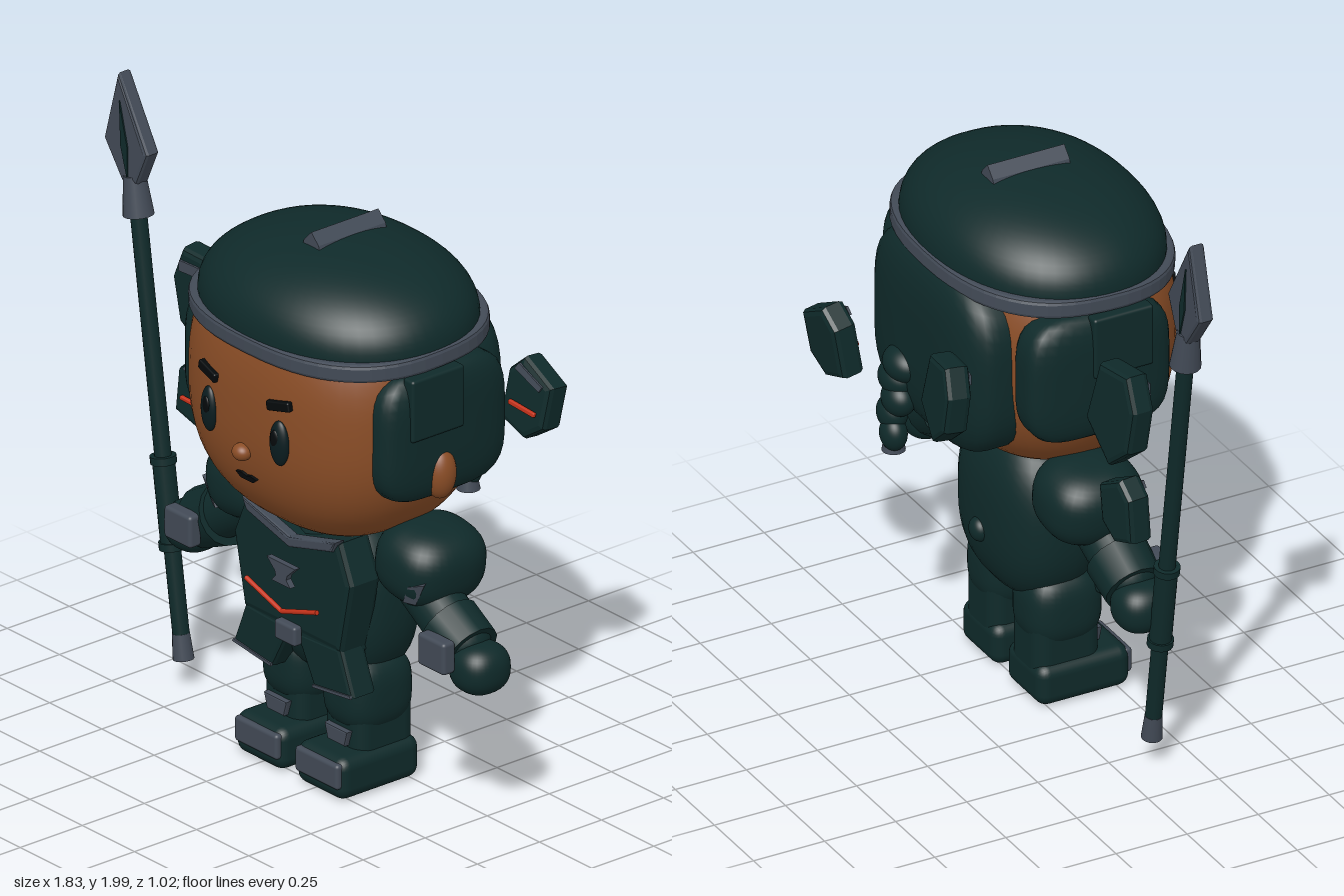
import * as THREE from 'three';
import { mergeVertices } from 'three/addons/utils/BufferGeometryUtils.js';
import { RoundedBoxGeometry } from 'three/addons/geometries/RoundedBoxGeometry.js';

const paint = (name, color) => Object.assign(new THREE.MeshStandardMaterial({ color }), { name });

export function createModel() {
  const teal = paint('dark teal', 0x0f2a2a), slate = paint('slate', 0x424a56), skin = paint('skin', 0x8a4d26);
  const red = paint('red', 0xc4321a), ink = paint('ink', 0x0a1c1f), pitch = paint('pitch', 0x05090b);
  const model = new THREE.Group();
  model.name = 'spearGuard';
  const body = new THREE.Group();
  body.name = 'figure';
  body.position.x = 0.14;
  model.add(body);

  const add = (parent, name, geo, mat, pos = [0, 0, 0], rot = [0, 0, 0]) => {
    const m = new THREE.Mesh(geo, mat);
    m.name = name;
    m.position.set(...pos);
    m.rotation.set(...rot);
    parent.add(m);
    return m;
  };
  // Squarish ellipsoid: p = 2 is round, larger is boxier; floor cuts it flat underneath
  const blob = (rx, ry, rz, p = 2, floor = -1, seg = 40) => {
    let g = new THREE.SphereGeometry(1, seg, Math.round(seg * 0.7));
    g.deleteAttribute('uv');
    g.deleteAttribute('normal');
    const a = g.attributes.position;
    for (let i = 0; i < a.count; i++) {
      const v = [a.getX(i), a.getY(i), a.getZ(i)];
      const n = Math.pow(v.reduce((s, c) => s + Math.abs(c) ** p, 0), 1 / p);
      a.setXYZ(i, (rx * v[0]) / n, ry * Math.max(floor, v[1] / n), (rz * v[2]) / n);
    }
    g = mergeVertices(g, 1e-5);
    g.computeVertexNormals();
    return g;
  };
  // Bevelled plate from an outline, centred in depth
  const plate = (pts, depth, bevel = 0) => {
    const g = new THREE.ExtrudeGeometry(new THREE.Shape(pts.map(([x, y]) => new THREE.Vector2(x, y))), {
      depth: depth - 2 * bevel, bevelEnabled: bevel > 0, bevelSize: bevel, bevelThickness: bevel,
      bevelOffset: -bevel, bevelSegments: 2,
    });
    return g.translate(0, 0, bevel - depth / 2);
  };
  const box = (w, h, d, r = 0.01) => new RoundedBoxGeometry(w, h, d, 3, r);
  // Rod or capsule between two points
  const link = (parent, name, mat, a, b, r, r2 = r, round = false) => {
    const A = new THREE.Vector3(...a), B = new THREE.Vector3(...b), len = A.distanceTo(B);
    const g = round ? new THREE.CapsuleGeometry(r, len, 8, 24) : new THREE.CylinderGeometry(r2, r, len, 16);
    const m = add(parent, name, g, mat, A.clone().add(B).multiplyScalar(0.5).toArray());
    m.quaternion.setFromUnitVectors(new THREE.Vector3(0, 1, 0), B.sub(A).normalize());
    return m;
  };

  // Head and face
  add(body, 'head', blob(0.48, 0.46, 0.375, 2.5, -1, 56), skin, [0, 1.3, 0.1]);
  add(body, 'nose', blob(0.034, 0.028, 0.03), skin, [0, 1.165, 0.475]);
  add(body, 'mouth', plate([[-0.05, 0.006], [-0.02, 0.012], [0, 0.006], [0.02, 0.012], [0.05, 0.006], [0.03, -0.01], [-0.03, -0.01]], 0.03),
    pitch, [0, 1.075, 0.442], [0.2, 0, 0]);
  for (const s of [-1, 1]) {
    add(body, 'eye', blob(0.037, 0.076, 0.022), ink, [s * 0.168, 1.25, 0.464], [0, s * 0.15, 0]);
    add(body, 'pupil', blob(0.018, 0.03, 0.008), pitch, [s * 0.164, 1.268, 0.481], [0, s * 0.15, 0]);
    add(body, 'eyebrow', box(0.096, 0.032, 0.03, 0.006), pitch, [s * 0.168, 1.378, 0.462], [0, s * 0.15, s * 0.2]);
    add(body, 'ear', blob(0.052, 0.086, 0.052), skin, [s * 0.49, 1.155, 0.09]);
    add(body, 'sideHair', blob(0.09, 0.22, 0.25, 4), teal, [s * 0.425, 1.29, 0.06]);
    add(body, 'sideTab', box(0.05, 0.21, 0.21), teal, [s * 0.497, 1.405, 0.12]);
  }
  add(body, 'backHair', blob(0.36, 0.31, 0.135, 3.5), teal, [0, 1.26, -0.2]);

  // Braid hanging from the back hair
  for (let i = 0; i < 5; i++) {
    add(body, 'braidKnot', blob(0.08 - i * 0.007, 0.058, 0.062 - i * 0.005), teal,
      [0.1 + (i % 2) * 0.025, 1.14 - i * 0.06, -0.315 - i * 0.009]);
  }
  add(body, 'braidTie', new THREE.CylinderGeometry(0.03, 0.038, 0.04, 16), slate, [0.11, 0.855, -0.345]);

  // Helmet, tilted slightly forward
  const helmet = new THREE.Group();
  helmet.name = 'helmet';
  helmet.position.set(0, 1.54, 0.083);
  helmet.rotation.x = 0.04;
  body.add(helmet);
  add(helmet, 'helmetDome', blob(0.484, 0.225, 0.374, 2.2, 0, 56), teal, [0, 0.025, 0]);
  const rim = Array.from({ length: 56 }, (_, i) => {
    const t = (i / 56) * Math.PI * 2, c = Math.cos(t), n = Math.sin(t);
    return [0.495 * Math.sign(c) * Math.abs(c) ** 0.8, 0.385 * Math.sign(n) * Math.abs(n) ** 0.8];
  });
  add(helmet, 'helmetBand', plate(rim, 0.06, 0.012), slate, [0, 0, 0], [Math.PI / 2, 0, 0]);
  add(body, 'helmetCrest', plate([[-0.045, -0.03], [0.045, -0.03], [0.035, 0.005], [0, 0.04], [-0.035, 0.005]], 0.27), slate, [0, 1.787, 0.06]);

  // Torso and chest armour
  add(body, 'torso', blob(0.265, 0.295, 0.18, 2.6), teal, [0, 0.605, 0.07]);
  add(body, 'backKnob', blob(0.04, 0.04, 0.03), teal, [0, 0.54, -0.105]);
  add(body, 'chestPlate', plate([[-0.225, 0.87], [0, 0.81], [0.225, 0.87], [0.28, 0.74], [0.23, 0.5], [-0.23, 0.5], [-0.28, 0.74]], 0.13, 0.02), teal, [0, 0, 0.212]);
  add(body, 'collar', plate([[-0.225, 0.878], [0, 0.82], [0.225, 0.878], [0.205, 0.838], [0, 0.783], [-0.205, 0.838]], 0.04, 0.008), slate, [0, 0, 0.268]);
  add(body, 'chestEmblem', plate([[-0.068, 0.74], [0.068, 0.74], [0.03, 0.705], [0.025, 0.69], [0.045, 0.668], [-0.045, 0.668], [-0.025, 0.69], [-0.03, 0.705]], 0.02), slate, [0, 0, 0.308]);
  add(body, 'belt', box(0.46, 0.06, 0.12, 0.02), teal, [0, 0.5, 0.21]);
  add(body, 'buckle', box(0.1, 0.065, 0.035), slate, [0, 0.497, 0.288]);

  for (const s of [-1, 1]) {
    link(body, 'chestStripe', red, [0, 0.575, 0.315], [s * 0.17, 0.63, 0.315], 0.008);
    add(body, 'skirtFlap', plate([[0.01, 0.5], [0.225, 0.515], [0.285, 0.362], [0.1, 0.338], [0.04, 0.45]].map(([x, y]) => [s * x, y]), 0.1, 0.015), teal, [0, 0, 0.222]);
    add(body, 'skirtHem', plate([[0.1, 0.35], [0.278, 0.372], [0.283, 0.362], [0.1, 0.34]].map(([x, y]) => [s * x, y]), 0.008), slate, [0, 0, 0.272]);

    // Arms
    add(body, 'shoulderPad', blob(0.15, 0.13, 0.165, 2.6), teal, [s * 0.405, 0.82, 0.055], [0, 0, -s * 0.15]);
    add(body, 'shoulderPatch', plate([[0.08, 0.04], [0.02, 0.03], [-0.012, -0.03], [0.03, -0.04]].map(([x, y]) => [s * x, y]), 0.02),
      slate, [s * 0.455, 0.765, 0.2], [0.3, s * 0.45, 0]);
    link(body, 'arm', teal, [s * 0.4, 0.74, 0.08], [s * 0.6, 0.625, 0.09], 0.088, 0.088, true);
    link(body, 'cuff', teal, [s * 0.53, 0.655, 0.09], [s * 0.64, 0.6, 0.09], 0.105, 0.098);
    add(body, 'bracerPlate', box(0.128, 0.108, 0.05, 0.012), slate, [s * 0.607, 0.617, 0.202]);
    add(body, 'hand', blob(0.088, 0.083, 0.092, 2.4), teal, [s * 0.682, 0.562, 0.09]);

    // Legs and boots
    add(body, 'thigh', blob(0.112, 0.13, 0.13, 3), teal, [s * 0.145, 0.31, 0.09]);
    add(body, 'shin', box(0.19, 0.26, 0.23, 0.05), teal, [s * 0.145, 0.19, 0.085]);
    add(body, 'shinGuard', plate([[-0.055, 0.025], [0.055, 0.025], [0.04, -0.027], [-0.04, -0.027]], 0.03, 0.006), slate, [s * 0.145, 0.178, 0.205]);
    add(body, 'boot', box(0.232, 0.142, 0.325, 0.04), teal, [s * 0.145, 0.073, 0.13]);
    add(body, 'toeCap', box(0.205, 0.085, 0.03, 0.012), slate, [s * 0.145, 0.087, 0.285]);
  }

  // Spear
  const spear = new THREE.Group();
  spear.name = 'spear';
  spear.position.set(-0.57, 0.1, 0.112);
  spear.rotation.z = Math.atan2(0.285, 1.9);
  model.add(spear);
  const rod = (name, mat, y0, y1, r, r2) => link(spear, name, mat, [0, y0, 0], [0, y1, 0], r, r2);
  rod('spearShaft', teal, 0.02, 1.5, 0.027);
  rod('spearButt', slate, 0, 0.085, 0.034, 0.028);
  rod('spearGrip', teal, 0.38, 0.64, 0.036);
  rod('gripRing', teal, 0.64, 0.665, 0.042);
  rod('gripRing', teal, 0.36, 0.385, 0.042);
  rod('spearSocket', slate, 1.45, 1.58, 0.05, 0.036);
  add(spear, 'spearBlade', plate([[0, 1.918], [0.102, 1.665], [0.035, 1.56], [-0.035, 1.56], [-0.102, 1.69]], 0.055, 0.012), slate);
  for (const s of [-1, 1]) {
    add(spear, 'bladeGroove', plate([[0, 1.83], [0.016, 1.68], [0, 1.57], [-0.016, 1.68]], 0.006), teal, [0, 0, s * 0.029]);
  }

  // Floating armour shards: outline, place, scale and tilt
  const tall = [[-0.08, 0.168], [0.068, 0.153], [0.127, -0.063], [-0.005, -0.175], [-0.106, -0.09], [-0.127, 0.06]];
  const small = [[-0.02, 0.12], [0.09, 0.06], [0.075, -0.063], [0.005, -0.11], [-0.09, -0.075], [-0.075, 0.07]];
  const shard = (outline, pos, size, rot, slant) => {
    const g = new THREE.Group();
    g.name = 'floatingShard';
    g.position.set(...pos);
    g.rotation.set(...rot);
    g.scale.set(size, size, 1);
    model.add(g);
    add(g, 'shardBody', plate(outline, 0.085, 0.018), teal);
    const top = outline === tall ? [[-0.085, 0.13], [0.06, 0.125], [0.065, 0.09], [-0.09, 0.092]] : [[-0.03, 0.1], [0.062, 0.058], [0.052, 0.042], [-0.045, 0.08]];
    add(g, 'shardTrim', plate(top, 0.008), slate, [0, 0, 0.045]);
    add(g, 'shardStripe', box(0.1, 0.014, 0.014, 0.004), red, [0, -0.02, 0.052], [0, 0, slant]);
  };
  shard(tall, [-0.57, 1.285, 0], 1, [0.05, 0.1, 0], 0.46);
  shard(small, [-0.605, 0.96, 0], 1, [0, 0.1, 0], -0.1);
  shard(tall, [-0.24, 1.29, -0.43], 0.85, [0.06, -0.12, 0], 0.4);
  shard(small, [0.43, 1.17, -0.46], 1.15, [-0.12, 0.08, 0], -0.1);
  return model;
}
